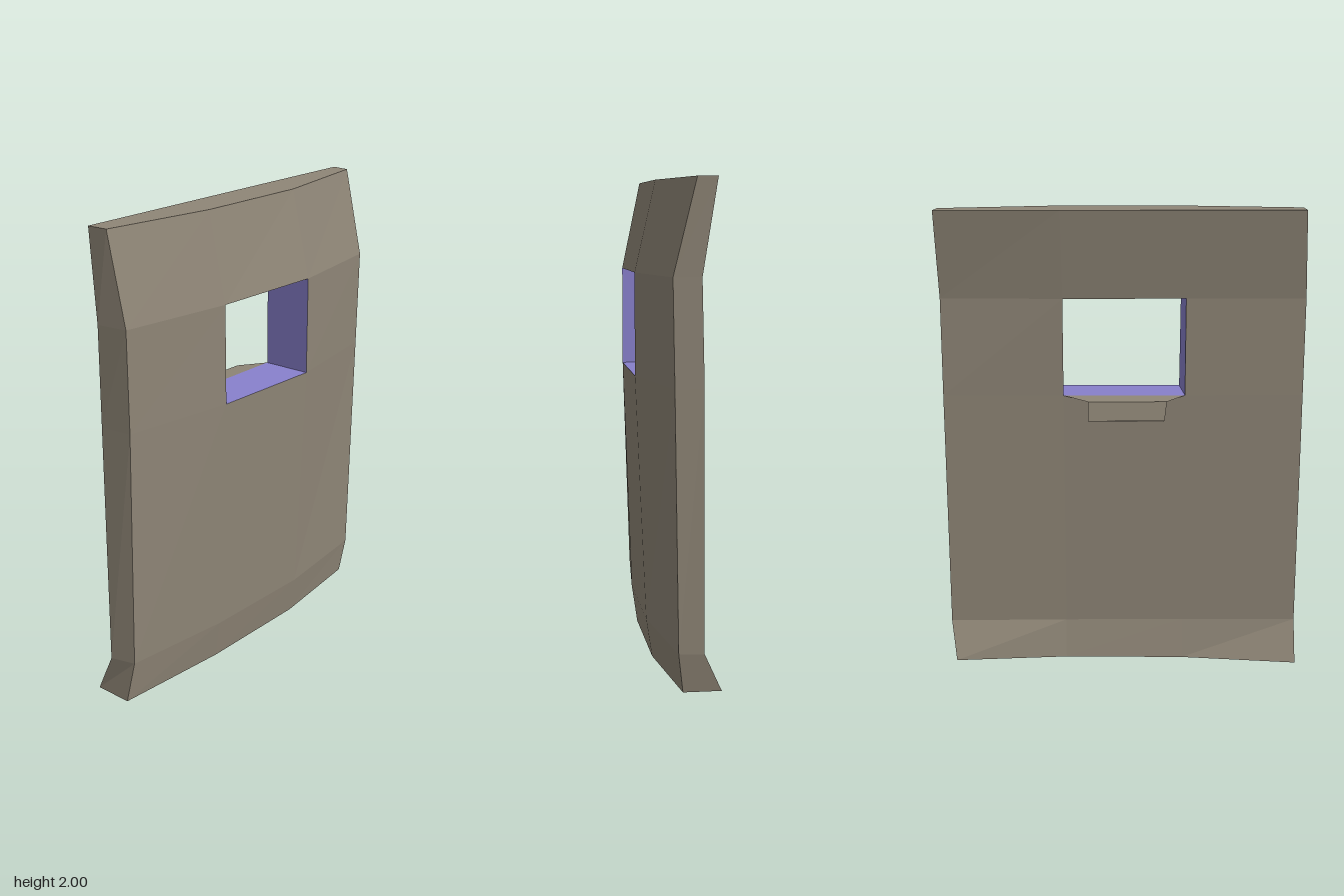
import * as THREE from 'three';

// Flat-shaded mesh from quads; corners run counter-clockwise seen from the front
function quadMesh(name, quads, color, side = THREE.FrontSide) {
  const pos = [];
  for (const [a, b, c, d] of quads) pos.push(...a, ...b, ...c, ...a, ...c, ...d);
  const geo = new THREE.BufferGeometry();
  geo.setAttribute('position', new THREE.Float32BufferAttribute(pos, 3));
  geo.computeVertexNormals();
  const mesh = new THREE.Mesh(geo, new THREE.MeshStandardMaterial({ color, flatShading: true, side }));
  mesh.name = name;
  return mesh;
}

// Cross-sections from bottom to top: heights, x and z of the four columns
const front = [
  { y: [0, 0.01, 0.015, 0.02], x: [-0.765, -0.26, 0.26, 0.725], z: [0.025, 0.075, 0.08, 0.025] },
  { y: 0.18, x: [-0.74, -0.26, 0.26, 0.745], z: [0.05, 0.1, 0.105, 0.045] },
  { y: 1.21, x: [-0.745, -0.255, 0.262, 0.75], z: [0.073, 0.138, 0.15, 0.062] },
  { y: 1.63, x: [-0.75, -0.258, 0.262, 0.75], z: [0.075, 0.138, 0.15, 0.07] },
  { y: 2, x: [-0.75, -0.26, 0.26, 0.755], z: [-0.01, 0.06, 0.065, -0.02] },
];
const back = [
  { y: [0.005, 0.01, 0.015, 0.02], x: [-0.77, -0.27, 0.245, 0.73], z: [-0.135, -0.085, -0.085, -0.128] },
  { y: 0.18, x: [-0.77, -0.27, 0.245, 0.755], z: [-0.055, -0.05, -0.05, -0.055] },
  { y: 1.215, x: [-0.77, -0.27, 0.245, 0.755], z: [-0.055, -0.055, -0.055, -0.05] },
  { y: 1.63, x: [-0.77, -0.27, 0.245, 0.755], z: [-0.055, -0.055, -0.055, -0.04] },
  { y: 2, x: [-0.755, -0.26, 0.25, 0.765], z: [-0.1, -0.1, -0.1, -0.097] },
];
const grid = (rows) => rows.map((r) =>
  r.x.map((x, i) => [x, Array.isArray(r.y) ? r.y[i] : r.y, r.z[i]]));

export function createModel() {
  const group = new THREE.Group();
  group.name = 'doorPanel';
  const F = grid(front), B = grid(back);
  const brown = 0x8f8677, violet = 0x8880cc;

  // Curved slab with a window opening in the middle
  const slab = [], reveal = [];
  for (let r = 0; r < 4; r++) {
    for (let c = 0; c < 3; c++) {
      if (r === 2 && c === 1) continue;
      slab.push([F[r][c], F[r][c + 1], F[r + 1][c + 1], F[r + 1][c]]);
      slab.push([B[r][c + 1], B[r][c], B[r + 1][c], B[r + 1][c + 1]]);
    }
    // Side edges
    slab.push([B[r][0], F[r][0], F[r + 1][0], B[r + 1][0]]);
    slab.push([F[r][3], B[r][3], B[r + 1][3], F[r + 1][3]]);
  }
  // Top and bottom edges
  for (let c = 0; c < 3; c++) {
    slab.push([F[4][c], F[4][c + 1], B[4][c + 1], B[4][c]]);
    slab.push([B[0][c], B[0][c + 1], F[0][c + 1], F[0][c]]);
  }
  group.add(quadMesh('slab', slab, brown));

  // Window reveal: four walls facing into the opening
  const loop = [[2, 1], [2, 2], [3, 2], [3, 1]];
  loop.forEach(([r, c], i) => {
    const [r2, c2] = loop[(i + 1) % 4];
    reveal.push([F[r][c], F[r2][c2], B[r2][c2], B[r][c]]);
  });
  group.add(quadMesh('windowReveal', reveal, violet));

  // Open-ended ledge under the window at the back: top, lip, underside
  const edges = [
    [B[2][2], B[2][1]],
    [[0.14, 1.21, -0.14], [-0.19, 1.21, -0.14]],
    [[0.14, 1.13, -0.155], [-0.18, 1.13, -0.155]],
    [[0.14, 1.1, -0.055], [-0.18, 1.1, -0.055]],
  ];
  const ledge = [];
  for (let i = 0; i < 3; i++) {
    const [a, b] = edges[i], [d, c] = edges[i + 1];
    ledge.push([a, d, c, b]);
  }
  group.add(quadMesh('ledge', ledge, brown, THREE.DoubleSide));
  return group;
}
